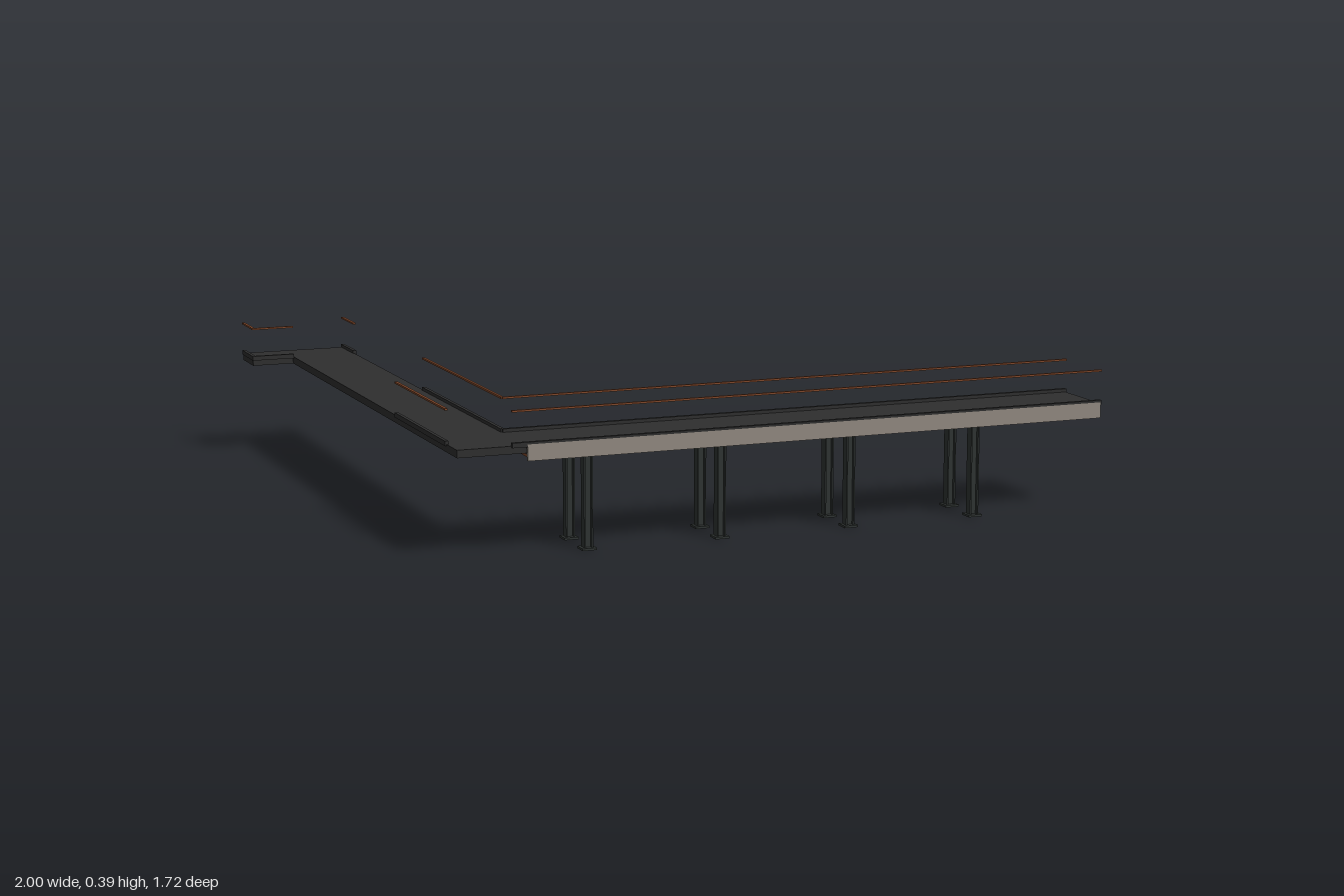
import * as THREE from 'three';

const deckMat = new THREE.MeshStandardMaterial({ color: 0x2e2e2e, name: 'dark decking' });
const steelMat = new THREE.MeshStandardMaterial({ color: 0x2f3432, name: 'dark steel' });
const panelMat = new THREE.MeshStandardMaterial({ color: 0x918980, name: 'grey fascia' });
const woodMat = new THREE.MeshStandardMaterial({ color: 0x82482a, name: 'brown timber' });

// Box given by its minimum and maximum corners
function slab(parent, name, mat, [x0, x1], [y0, y1], [z0, z1]) {
  const mesh = new THREE.Mesh(new THREE.BoxGeometry(x1 - x0, y1 - y0, z1 - z0), mat);
  mesh.position.set((x0 + x1) / 2, (y0 + y1) / 2, (z0 + z1) / 2);
  mesh.name = name;
  parent.add(mesh);
  return mesh;
}

// Kerb on the deck edge with a slim handrail floating above it
function railing(parent, xs, zs) {
  const group = new THREE.Group();
  group.name = 'railing';
  const alongX = xs[1] - xs[0] > zs[1] - zs[0];
  const inset = ([a, b], d) => [(a + b) / 2 - d, (a + b) / 2 + d];
  slab(group, 'kerb', deckMat, xs, [0.29, 0.303], zs);
  slab(group, 'handrail', woodMat,
    alongX ? xs : inset(xs, 0.004), [0.383, 0.388], alongX ? inset(zs, 0.004) : zs);
  parent.add(group);
}

// H-section column on a base plate
function column(parent, x, z) {
  const group = new THREE.Group();
  group.name = 'column';
  for (const s of [-1, 1]) {
    const cx = x + s * 0.0105;
    slab(group, 'columnFlange', steelMat, [cx - 0.002, cx + 0.002], [0.005, 0.262], [z - 0.0125, z + 0.0125]);
  }
  slab(group, 'columnWeb', steelMat, [x - 0.009, x + 0.009], [0.005, 0.262], [z - 0.003, z + 0.003]);
  slab(group, 'basePlate', steelMat, [x - 0.02, x + 0.02], [0, 0.006], [z - 0.02, z + 0.02]);
  parent.add(group);
}

export function createModel() {
  const model = new THREE.Group();
  model.name = 'walkway';

  // Long leg and the short return at its far end
  slab(model, 'legDeck', deckMat, [-0.873, -0.684], [0.273, 0.294], [-0.862, 0.855]);
  slab(model, 'returnDeck', deckMat, [-0.997, -0.873], [0.273, 0.294], [-0.862, -0.742]);

  // Raised bridge: deck, timber soffit and fascia panels
  slab(model, 'bridgeDeck', deckMat, [-0.684, 0.997], [0.27, 0.294], [0.659, 0.857]);
  slab(model, 'soffit', woodMat, [-0.684, 0.997], [0.263, 0.27], [0.661, 0.855]);
  for (const [z0, z1] of [[0.653, 0.659], [0.857, 0.863]]) {
    slab(model, 'fasciaPanel', panelMat, [-0.684, 0.997], [0.253, 0.297], [z0, z1]);
  }

  // Column pairs with cross beams
  for (const x of [-0.51, -0.133, 0.245, 0.62]) {
    for (const z of [0.693, 0.831]) column(model, x, z);
    slab(model, 'crossBeam', steelMat, [x - 0.0125, x + 0.0125], [0.254, 0.264], [0.661, 0.855]);
  }

  // Railings: bridge, leg, then the far return
  railing(model, [-0.725, 1], [0.851, 0.863]);
  railing(model, [-0.684, 1], [0.653, 0.665]);
  railing(model, [-0.688, -0.678], [-0.03, 0.659]);
  railing(model, [-0.878, -0.868], [0.325, 0.77]);
  railing(model, [-0.688, -0.678], [-0.862, -0.73]);
  railing(model, [-1, -0.99], [-0.862, -0.733]);
  railing(model, [-1, -0.873], [-0.743, -0.733]);

  return model;
}
